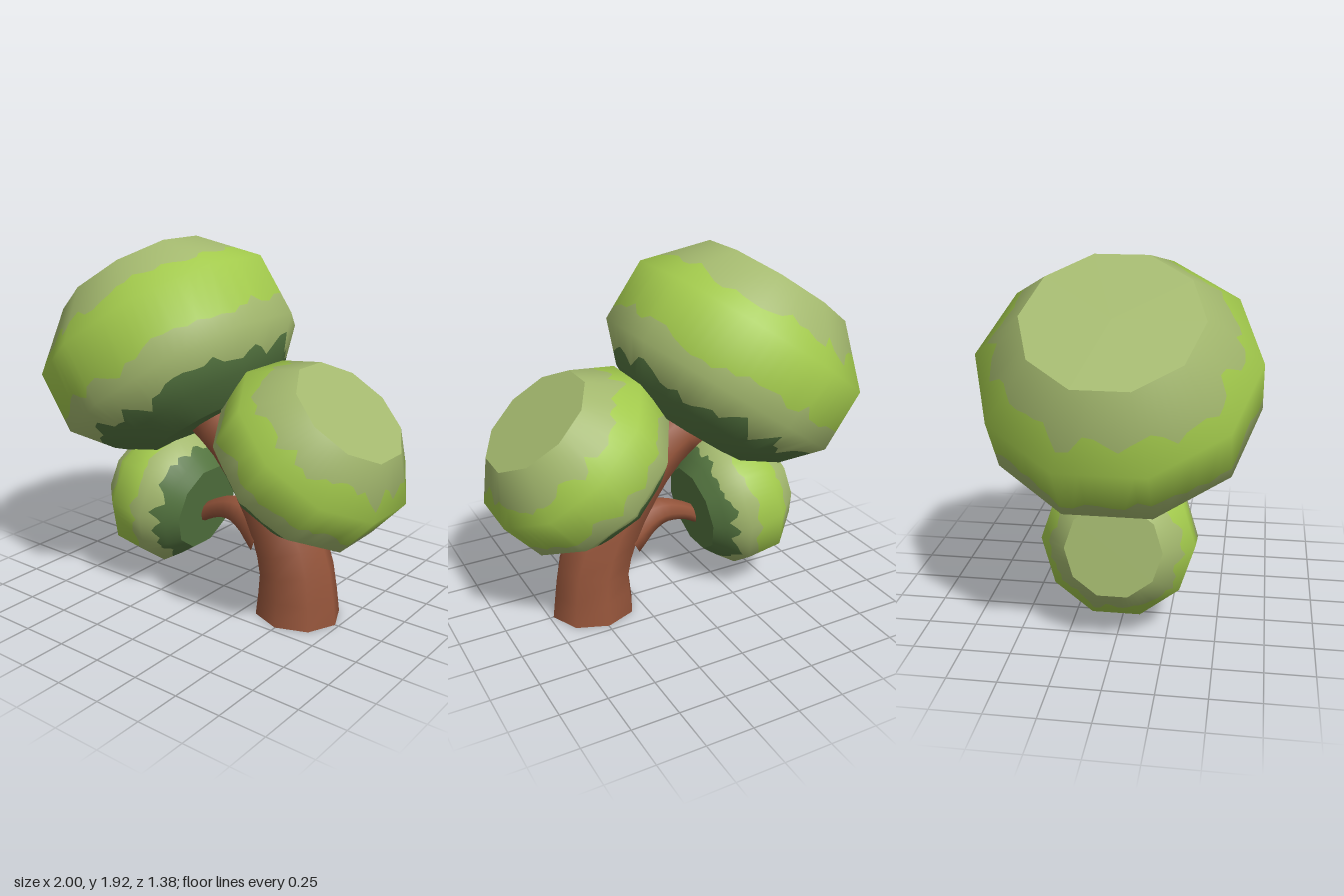
import * as THREE from 'three';

const mat = (name, color) => {
  const m = new THREE.MeshStandardMaterial({ color });
  m.name = name;
  return m;
};

const SIDES = 10; // crown cross-section
const SUB = 7;    // columns per side, for the ragged colour borders

function seeded(seed) {
  return () => ((seed = (seed * 16807) % 2147483647) / 2147483647);
}

function makeGeometry(pos, nor) {
  const g = new THREE.BufferGeometry();
  g.setAttribute('position', new THREE.Float32BufferAttribute(pos, 3));
  if (nor) g.setAttribute('normal', new THREE.Float32BufferAttribute(nor, 3));
  return g;
}

// Blunt ten-sided crown along local y, split into colour bands with ragged borders
function makeCrown(name, base, axis, heights, radii, mats, seed) {
  const rnd = seeded(seed);
  const group = new THREE.Group();
  group.name = name;
  group.position.set(base[0], base[1], 0);
  group.rotation.z = Math.atan2(-axis[0], axis[1]);

  // smooth profile normals
  const segN = heights.slice(1).map((h, i) =>
    new THREE.Vector2(h - heights[i], radii[i] - radii[i + 1]));
  const ringN = heights.map((_, i) => {
    const n = new THREE.Vector2();
    if (i > 0) n.add(segN[i - 1]);
    if (i < segN.length) n.add(segN[i]);
    return n.normalize();
  });

  const corner = k => {
    const a = (k / SIDES) * Math.PI * 2;
    return new THREE.Vector2(Math.sin(a), Math.cos(a));
  };
  const around = c => {
    const k = Math.floor(c / SUB);
    return corner(k).lerp(corner(k + 1), (c % SUB) / SUB);
  };
  const vertex = (seg, t, c) => {
    const d = around(c);
    const r = THREE.MathUtils.lerp(radii[seg], radii[seg + 1], t);
    const y = THREE.MathUtils.lerp(heights[seg], heights[seg + 1], t);
    const n = ringN[seg].clone().lerp(ringN[seg + 1], t);
    const nv = new THREE.Vector3(d.x * n.x, n.y, d.y * n.x).normalize();
    return { p: [d.x * r, y, d.y * r], n: nv.toArray() };
  };

  // ragged border inside each of the three upper segments
  const count = SIDES * SUB;
  const border = (mid, amp) => Array.from({ length: count }, (_, i) =>
    mid + amp * (0.55 * Math.sin(i * 0.9 + 2 * Math.sin(i * 0.36)) + 0.9 * (rnd() - 0.5)));
  const zero = new Array(count).fill(0), one = new Array(count).fill(1);
  const b1 = border(0.42, 0.3), b2 = border(0.28, 0.16), b3 = border(0.36, 0.18);

  const bands = [
    ['lowerLeaves', mats.dark, [[0, zero, one], [1, zero, b1]]],
    ['paleLeaves', mats.pale, [[1, b1, one], [2, zero, b2], [3, b3, one]]],
    ['brightLeaves', mats.bright, [[2, b2, one], [3, zero, b3]]],
  ];
  for (const [label, material, rows] of bands) {
    const pos = [], nor = [];
    for (const [seg, lo, hi] of rows) {
      for (let c = 0; c < count; c++) {
        const e = (c + 1) % count;
        const A = vertex(seg, lo[c], c), B = vertex(seg, lo[e], e);
        const C = vertex(seg, hi[e], e), D = vertex(seg, hi[c], c);
        for (const v of [A, B, C, A, C, D]) { pos.push(...v.p); nor.push(...v.n); }
      }
    }
    const mesh = new THREE.Mesh(makeGeometry(pos, nor), material);
    mesh.name = label;
    group.add(mesh);
  }

  // flat ends
  const last = heights.length - 1;
  for (const [label, i, tilt, material] of [
    ['crownTop', last, -1, mats.pale], ['crownUnderside', 0, 1, mats.dark]]) {
    const cap = new THREE.Mesh(new THREE.CircleGeometry(radii[i], SIDES, Math.PI / 2), material);
    cap.name = label;
    cap.rotation.x = tilt * Math.PI / 2;
    cap.position.y = heights[i];
    group.add(cap);
  }
  return group;
}

// Tapered limb swept through [x, y, radius] points in the xy plane
function makeLimb(name, points, material, depth = 1) {
  const sides = 8, steps = (points.length - 1) * 2;
  const curve = new THREE.CatmullRomCurve3(points.map(p => new THREE.Vector3(...p)));
  const pos = [], index = [];
  for (let i = 0; i <= steps; i++) {
    const c = curve.getPoint(i / steps);
    const t = curve.getTangent(i / steps).setZ(0).normalize();
    if (i === 0 && points[0][1] === 0) t.set(0, 1, 0);
    for (let k = 0; k < sides; k++) {
      const a = (k / sides) * Math.PI * 2;
      const s = Math.sin(a) * c.z;
      pos.push(c.x + t.y * s, c.y - t.x * s, Math.cos(a) * c.z * depth);
      if (i < steps) {
        const p = i * sides + k, q = i * sides + (k + 1) % sides;
        index.push(p, q, q + sides, p, q + sides, p + sides);
      }
    }
  }
  // close the far end
  const tip = steps * sides;
  for (let k = 1; k < sides - 1; k++) index.push(tip, tip + k, tip + k + 1);
  const g = makeGeometry(pos);
  g.setIndex(index);
  g.computeVertexNormals();
  const mesh = new THREE.Mesh(g, material);
  mesh.name = name;
  return mesh;
}

export function createModel() {
  const model = new THREE.Group();
  model.name = 'tree';
  const bark = mat('bark brown', 0x94543a);
  const leaves = {
    bright: mat('bright leaf green', 0xa2c94c),
    pale: mat('pale leaf green', 0xa3b86e),
    dark: mat('dark leaf green', 0x547540),
  };

  // Curved trunk with a flat foot
  model.add(makeLimb('trunk', [
    [0.497, 0, 0.233], [0.485, 0.25, 0.205], [0.405, 0.47, 0.19],
    [0.25, 0.7, 0.168], [0.065, 0.88, 0.142], [-0.12, 1.0, 0.13],
  ], bark, 0.92));
  const foot = new THREE.Mesh(new THREE.CircleGeometry(0.233, 8), bark);
  foot.name = 'trunkBase';
  foot.rotation.x = Math.PI / 2;
  foot.position.x = 0.497;
  foot.scale.y = 0.92;
  model.add(foot);

  // Side branch reaching the small crown
  model.add(makeLimb('branch', [
    [0.3, 0.4, 0.13], [0.19, 0.465, 0.1], [0.09, 0.49, 0.077],
    [0, 0.475, 0.06], [-0.09, 0.44, 0.048], [-0.18, 0.38, 0.04],
  ], bark));

  // Three leaf crowns
  model.add(makeCrown('largeCrown', [-0.095, 0.945], [-0.582, 0.813],
    [0, 0.099, 0.28, 0.622, 0.902], [0.338, 0.52, 0.69, 0.69, 0.43], leaves, 11));
  model.add(makeCrown('mediumCrown', [0.35, 0.65], [0.636, 0.772],
    [0, 0.07, 0.185, 0.455, 0.66], [0.297, 0.378, 0.495, 0.51, 0.317], leaves, 47));
  model.add(makeCrown('smallCrown', [-0.118, 0.45], [-0.986, 0.165],
    [0, 0.056, 0.157, 0.353, 0.51], [0.243, 0.3, 0.39, 0.39, 0.243], leaves, 83));
  return model;
}
